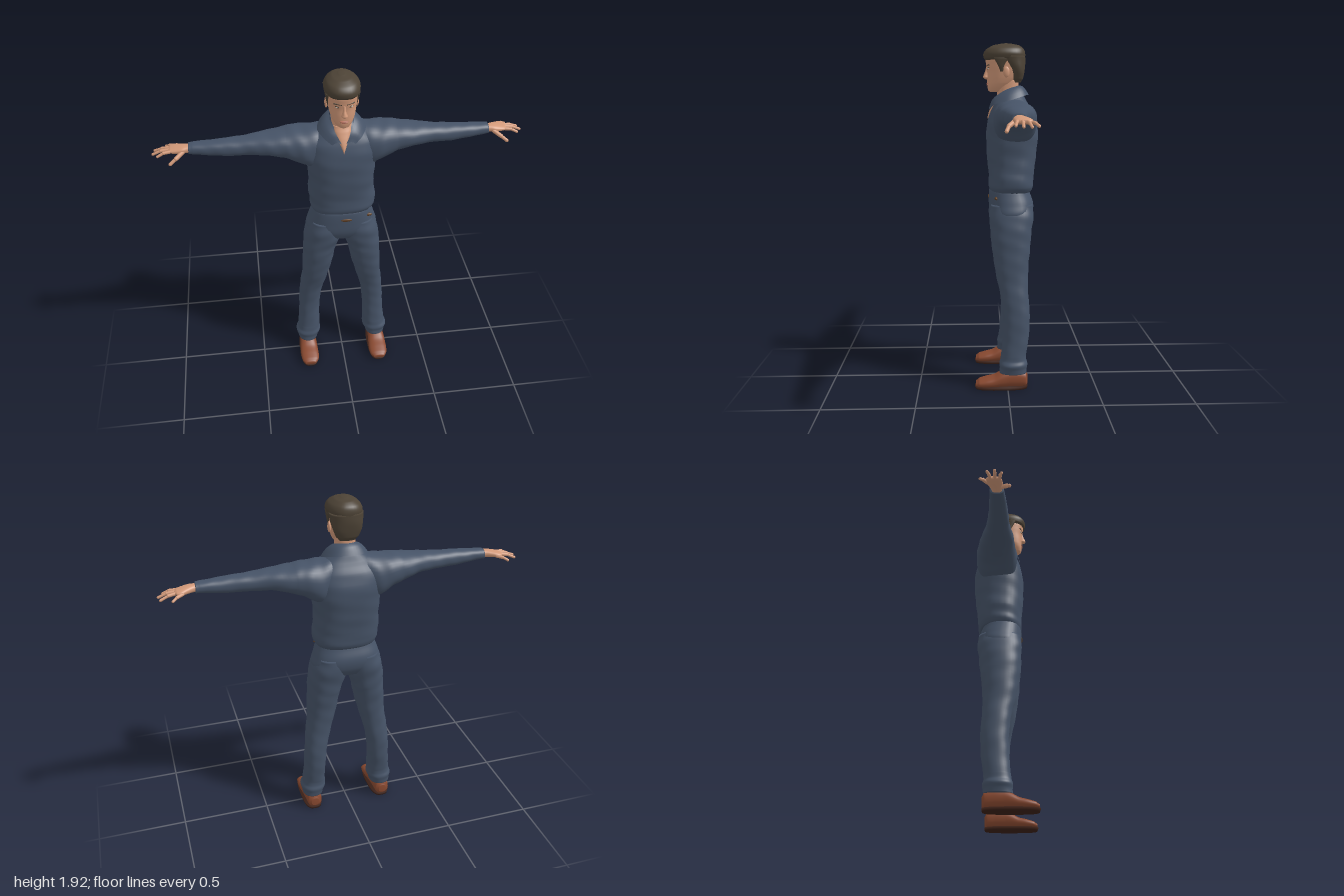
import * as THREE from 'three';

const mat = (name, color, side = THREE.FrontSide) =>
  Object.assign(new THREE.MeshStandardMaterial({ color, side }), { name });
const M = {
  cloth: mat('blue cloth', 0x465367, THREE.DoubleSide),
  skin: mat('skin', 0xd39a7a),
  hair: mat('dark hair', 0x4d4336),
  shoe: mat('brown leather', 0x8a4a31),
  sole: mat('dark sole', 0x3d2219),
  belt: mat('belt brown', 0x5f4128),
  lips: mat('lips', 0xb5705c),
  white: mat('eye white', 0xcfc4b8),
};

// Smooth skin through rounded sections [t, u0, u1, v0, v1] along an axis.
// axis y: u = x, v = z; axis x: u = z, v = y; axis z: u = y, v = x.
function loft(axis, sections, { p = 2.3, folds = 0, steps = 6, n = 36 } = {}) {
  const rows = [...sections].sort((a, b) => a[0] - b[0]);
  const place = {
    y: (t, u, v) => [u, t, v], x: (t, u, v) => [t, v, u], z: (t, u, v) => [v, u, t],
  }[axis];
  const at = (k, f, c) => {
    const g = i => rows[Math.max(0, Math.min(rows.length - 1, i))][c];
    const [a, b, d, e] = [g(k - 1), g(k), g(k + 1), g(k + 2)];
    if (c === 0) return b + (d - b) * f;
    return b + 0.5 * f * (d - a + f * (2 * a - 5 * b + 4 * d - e + f * (3 * (b - d) + e - a)));
  };
  const pos = [], idx = [], count = (rows.length - 1) * steps;
  const round = w => Math.sign(w) * Math.abs(w) ** (2 / p);
  for (let i = 0; i <= count; i++) {
    const k = Math.min(rows.length - 2, Math.floor(i / steps)), f = i / steps - k;
    const [t, u0, u1, v0, v1] = [0, 1, 2, 3, 4].map(c => at(k, f, c));
    for (let j = 0; j < n; j++) {
      const th = j / n * Math.PI * 2;
      const s = 1 + folds * (Math.sin(t * 38 + 2 * th) + Math.sin(t * 71 - 3 * th)) / 2;
      pos.push(...place(t, (u0 + u1) / 2 + (u1 - u0) / 2 * s * round(Math.cos(th)),
        (v0 + v1) / 2 + (v1 - v0) / 2 * s * round(Math.sin(th))));
      if (i < count) {
        const a = i * n + j, b = i * n + (j + 1) % n;
        idx.push(a, a + n, b, b, a + n, b + n);
      }
    }
  }
  // end caps
  [rows[0], rows[rows.length - 1]].forEach((r, e) => {
    const c = pos.length / 3, o = e * count * n;
    pos.push(...place(r[0], (r[1] + r[2]) / 2, (r[3] + r[4]) / 2));
    for (let j = 0; j < n; j++) {
      const a = o + j, b = o + (j + 1) % n;
      idx.push(...(e ? [c, b, a] : [c, a, b]));
    }
  });
  return finish(pos, idx);
}

function finish(pos, idx) {
  const g = new THREE.BufferGeometry();
  g.setAttribute('position', new THREE.Float32BufferAttribute(pos, 3));
  g.setIndex(idx);
  g.computeVertexNormals();
  return g;
}

// Symmetric sections about x = 0: [y, halfWidth, z0, z1]
const sym = rows => rows.map(([y, w, a, b]) => [y, -w, w, a, b]);

function mirrored(geo) {
  const g = geo.clone().scale(-1, 1, 1), a = g.index.array;
  for (let i = 0; i < a.length; i += 3) [a[i], a[i + 1]] = [a[i + 1], a[i]];
  return g;
}

const ball = (x, y, z, sx, sy, sz) => new THREE.SphereGeometry(1, 20, 14).scale(sx, sy, sz).translate(x, y, z);

function rod(a, b, r) {
  const A = new THREE.Vector3(...a), B = new THREE.Vector3(...b), d = B.clone().sub(A);
  const q = new THREE.Quaternion().setFromUnitVectors(new THREE.Vector3(0, 1, 0), d.clone().normalize());
  return new THREE.CapsuleGeometry(r, d.length(), 5, 12).applyQuaternion(q).translate(...A.add(B).multiplyScalar(0.5).toArray());
}

// Folded collar: a strip between the neck line and the hanging edge
function collar() {
  const line = half => new THREE.CatmullRomCurve3(
    [...half, ...half.slice(0, -1).reverse().map(([x, y, z]) => [-x, y, z])].map(q => new THREE.Vector3(...q)));
  const top = line([[0.012, 1.56, 0.096], [0.04, 1.615, 0.074], [0.064, 1.662, 0.01], [0.048, 1.685, -0.055], [0, 1.69, -0.078]]);
  const low = line([[0.062, 1.556, 0.093], [0.098, 1.583, 0.07], [0.13, 1.605, -0.01], [0.085, 1.633, -0.1], [0, 1.637, -0.127]]);
  const pos = [], idx = [], n = 40, m = 4;
  for (let i = 0; i <= n; i++) for (let j = 0; j <= m; j++) {
    const v = top.getPoint(i / n).lerp(low.getPoint(i / n), j / m);
    v.y += 0.012 * Math.sin(j / m * Math.PI);
    pos.push(v.x, v.y, v.z);
    if (i < n && j < m) {
      const a = i * (m + 1) + j, b = a + m + 1;
      idx.push(a, a + 1, b, b, a + 1, b + 1);
    }
  }
  return finish(pos, idx);
}

export function createModel() {
  const model = new THREE.Group();
  const add = (name, geo, material) => {
    const mesh = new THREE.Mesh(geo, material);
    mesh.name = name;
    model.add(mesh);
  };
  const pair = (name, geo, material) => {
    add('left' + name, geo, material);
    add('right' + name, mirrored(geo), material);
  };

  // Shirt
  add('shirt', loft('y', [
    [1.085, -0.14, 0.145, -0.12, 0.075], [1.1, -0.166, 0.17, -0.14, 0.092], [1.125, -0.177, 0.188, -0.15, 0.1],
    [1.16, -0.178, 0.19, -0.154, 0.1], [1.21, -0.184, 0.184, -0.158, 0.102],
    ...sym([[1.3, 0.181, -0.168, 0.11], [1.4, 0.188, -0.178, 0.114], [1.48, 0.198, -0.172, 0.107],
      [1.54, 0.185, -0.152, 0.092], [1.59, 0.14, -0.122, 0.066], [1.63, 0.09, -0.1, 0.042], [1.66, 0.055, -0.08, 0.02]]),
  ], { p: 2.5, folds: 0.012 }), M.cloth);
  add('collar', collar(), M.cloth);
  pair('Sleeve', loft('x', [
    [0.06, -0.12, 0.04, 1.43, 1.615], [0.14, -0.152, 0.07, 1.37, 1.606], [0.2, -0.158, 0.074, 1.39, 1.603],
    [0.25, -0.152, 0.069, 1.42, 1.6], [0.3, -0.144, 0.062, 1.443, 1.592], [0.4, -0.116, 0.05, 1.468, 1.582],
    [0.5, -0.092, 0.033, 1.475, 1.572], [0.6, -0.08, 0.028, 1.477, 1.566], [0.7, -0.073, 0.018, 1.486, 1.561],
    [0.78, -0.07, 0.01, 1.496, 1.556], [0.805, -0.068, 0.006, 1.499, 1.553],
  ], { folds: 0.025 }), M.cloth);

  // Trousers
  add('trouserSeat', loft('y', sym([
    [1.13, 0.15, -0.12, 0.085], [1.1, 0.165, -0.13, 0.098], [1.03, 0.187, -0.153, 0.1],
    [0.97, 0.2, -0.148, 0.096], [0.92, 0.15, -0.12, 0.075], [0.895, 0.05, -0.075, 0.03]]), { p: 2.5 }), M.cloth);
  pair('TrouserLeg', loft('y', [
    [1.03, 0.01, 0.18, -0.145, 0.09], [0.97, -0.002, 0.204, -0.15, 0.097], [0.91, 0.003, 0.215, -0.142, 0.095],
    [0.85, 0.026, 0.221, -0.136, 0.09], [0.8, 0.04, 0.225, -0.13, 0.085], [0.7, 0.06, 0.23, -0.121, 0.074],
    [0.6, 0.085, 0.236, -0.116, 0.055], [0.5, 0.112, 0.25, -0.12, 0.034], [0.4, 0.13, 0.258, -0.125, 0.026],
    [0.3, 0.137, 0.263, -0.12, 0.027], [0.2, 0.14, 0.27, -0.107, 0.036], [0.165, 0.139, 0.275, -0.105, 0.04],
    [0.14, 0.137, 0.287, -0.11, 0.047], [0.115, 0.148, 0.28, -0.107, 0.044], [0.09, 0.155, 0.276, -0.106, 0.046],
  ], { folds: 0.02 }), M.cloth);
  // Belt glimpses under the shirt hem
  add('beltBuckle', ball(0.015, 1.066, 0.1, 0.032, 0.009, 0.005), M.belt);
  add('beltSide', ball(0.145, 1.068, 0.062, 0.02, 0.009, 0.008), M.belt);

  // Shoes
  pair('Shoe', loft('z', [
    [-0.112, 0.025, 0.075, 0.195, 0.24], [-0.1, 0.01, 0.1, 0.176, 0.258], [-0.05, 0.008, 0.112, 0.172, 0.264],
    [0, 0.008, 0.11, 0.17, 0.267], [0.035, 0.008, 0.097, 0.167, 0.27], [0.075, 0.008, 0.074, 0.164, 0.272],
    [0.12, 0.008, 0.062, 0.162, 0.272], [0.16, 0.01, 0.05, 0.168, 0.265], [0.18, 0.014, 0.036, 0.185, 0.25],
  ]), M.shoe);
  pair('Sole', loft('y', [[0, 0.162, 0.272, -0.11, 0.18], [0.016, 0.16, 0.275, -0.113, 0.186]], { p: 3, steps: 1 }), M.sole);

  // Hands
  pair('Palm', loft('x', [
    [0.78, -0.058, -0.004, 1.505, 1.546], [0.81, -0.058, -0.003, 1.505, 1.546], [0.84, -0.07, 0.003, 1.504, 1.544],
    [0.875, -0.086, 0, 1.504, 1.538], [0.9, -0.084, -0.006, 1.507, 1.532], [0.912, -0.07, -0.02, 1.511, 1.526]]), M.skin);
  const fingers = {
    Index: [[0.892, 1.52, -0.016], [0.935, 1.517, -0.01], [0.967, 1.502, -0.004]],
    Middle: [[0.9, 1.52, -0.038], [0.95, 1.515, -0.038], [0.993, 1.498, -0.038]],
    Ring: [[0.897, 1.519, -0.06], [0.945, 1.513, -0.068], [0.985, 1.497, -0.076]],
    Little: [[0.872, 1.517, -0.078], [0.905, 1.511, -0.098], [0.927, 1.499, -0.112]],
    Thumb: [[0.835, 1.518, -0.006], [0.872, 1.497, 0.022], [0.903, 1.474, 0.034]],
  };
  for (const [name, [a, b, c]] of Object.entries(fingers)) {
    const r = name === 'Thumb' ? 0.0115 : 0.009;
    pair(name + 'Base', rod(a, b, r), M.skin);
    pair(name + 'Tip', rod(b, c, r * 0.82), M.skin);
  }

  // Neck, open throat and head
  add('neck', loft('y', sym([[1.56, 0.064, -0.08, 0.055], [1.62, 0.058, -0.073, 0.052], [1.66, 0.055, -0.07, 0.05],
    [1.72, 0.055, -0.07, 0.05]])), M.skin);
  add('throat', loft('y', sym([[1.505, 0.003, 0.04, 0.106], [1.535, 0.017, 0.03, 0.1], [1.57, 0.034, 0.02, 0.086],
    [1.61, 0.048, 0, 0.066], [1.64, 0.05, -0.02, 0.05]])), M.skin);
  add('head', loft('y', sym([
    [1.652, 0.018, 0.04, 0.09], [1.66, 0.034, 0.01, 0.1], [1.68, 0.05, -0.02, 0.105], [1.7, 0.061, -0.045, 0.106],
    [1.73, 0.069, -0.07, 0.107], [1.765, 0.075, -0.085, 0.107], [1.8, 0.079, -0.092, 0.112],
    [1.84, 0.08, -0.092, 0.113], [1.88, 0.06, -0.07, 0.08]])), M.skin);
  add('nose', loft('y', sym([[1.722, 0.009, 0.085, 0.115], [1.732, 0.017, 0.085, 0.128], [1.745, 0.012, 0.085, 0.127],
    [1.765, 0.008, 0.085, 0.119], [1.79, 0.008, 0.085, 0.113]]), { n: 20 }), M.skin);
  add('upperLip', ball(0, 1.7, 0.104, 0.024, 0.0045, 0.007), M.lips);
  add('lowerLip', ball(0, 1.692, 0.104, 0.019, 0.0045, 0.006), M.lips);
  pair('Ear', ball(0.081, 1.762, 0.002, 0.009, 0.03, 0.018).rotateX(0), M.skin);
  pair('Eye', ball(0.031, 1.782, 0.097, 0.014, 0.005, 0.008), M.white);
  pair('Iris', ball(0.031, 1.782, 0.103, 0.0055, 0.005, 0.003), M.hair);
  pair('UpperLid', rod([0.019, 1.787, 0.104], [0.044, 1.786, 0.097], 0.0025), M.hair);
  pair('Eyebrow', rod([0.015, 1.797, 0.108], [0.05, 1.801, 0.097], 0.0038), M.hair);

  // Hair
  add('hairTop', loft('y', sym([
    [1.828, 0.083, -0.102, 0.117], [1.84, 0.091, -0.107, 0.126], [1.865, 0.093, -0.108, 0.127],
    [1.89, 0.08, -0.098, 0.11], [1.91, 0.052, -0.07, 0.072], [1.92, 0.015, -0.025, 0.025]]), { folds: 0.015 }), M.hair);
  add('hairBack', loft('y', sym([
    [1.705, 0.045, -0.082, -0.03], [1.725, 0.062, -0.093, -0.022], [1.76, 0.077, -0.101, -0.016],
    [1.8, 0.086, -0.106, 0.01], [1.85, 0.091, -0.107, 0.05]]), { folds: 0.015 }), M.hair);
  pair('Sideburn', loft('y', [[1.765, 0.07, 0.079, 0.018, 0.036], [1.795, 0.07, 0.085, 0.014, 0.048],
    [1.84, 0.07, 0.09, -0.01, 0.07]]), M.hair);

  return model;
}
